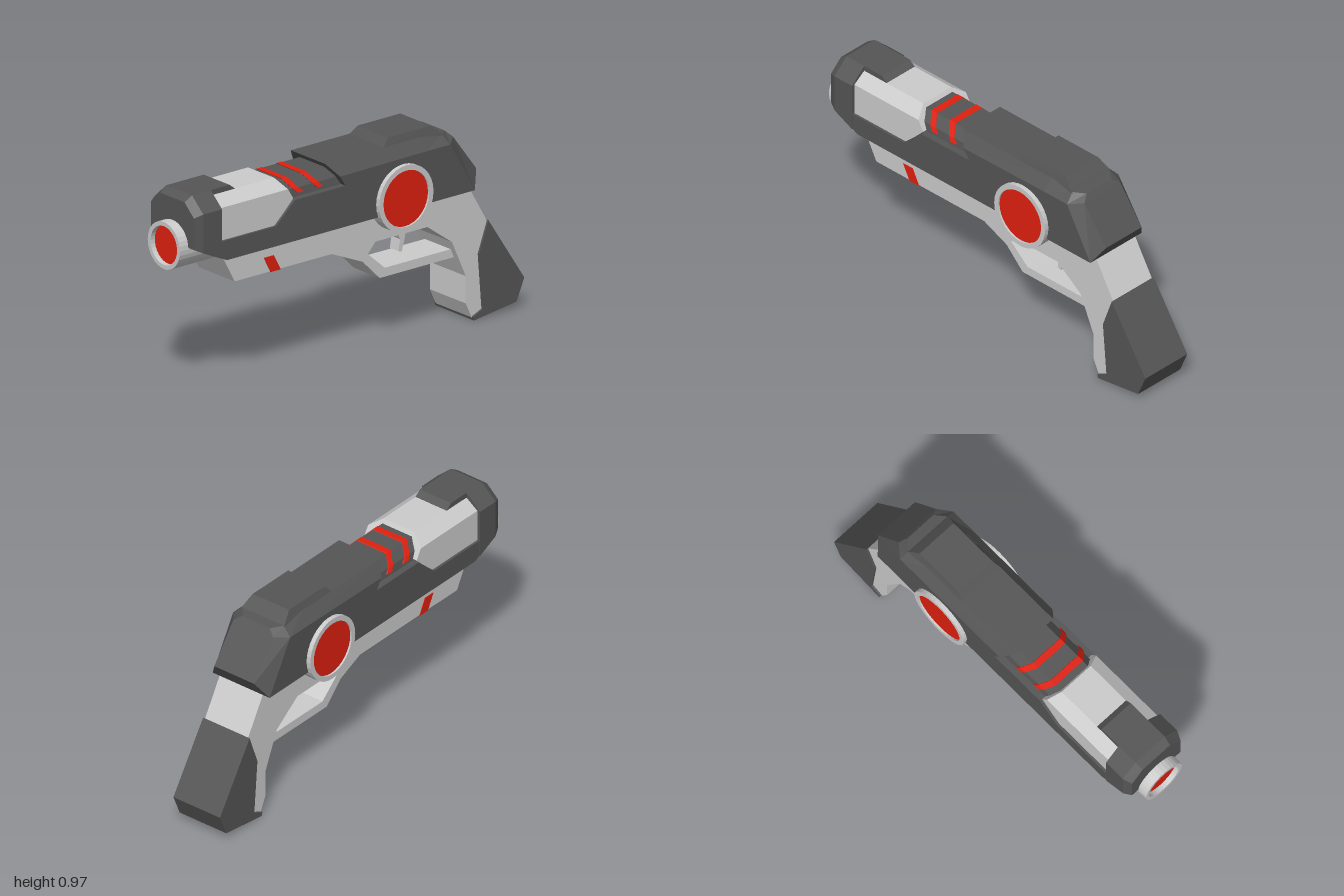
import * as THREE from 'three';

const mat = (color) => new THREE.MeshStandardMaterial({ color, flatShading: true, side: THREE.DoubleSide });

// Side profile in x,y extruded symmetrically to z = +-w
function slab(points, w) {
  const shape = new THREE.Shape(points.map(([x, y]) => new THREE.Vector2(x, y)));
  return new THREE.ExtrudeGeometry(shape, { depth: 2 * w, bevelEnabled: false }).translate(0, 0, -w);
}

// Skin between mirrored rings; each ring lists its +z half as [x, y, z] from bottom to top
function loft(rings) {
  const pos = [];
  const mirror = ([x, y, z]) => [x, y, -z];
  const quad = (a, b, c, d) => pos.push(...a, ...b, ...c, ...a, ...c, ...d);
  const loops = rings.map((h) => [...h, ...h.map(mirror).reverse()]);
  for (let r = 0; r < loops.length - 1; r++) {
    const a = loops[r], b = loops[r + 1];
    a.forEach((p, i) => {
      const j = (i + 1) % a.length;
      quad(p, b[i], b[j], a[j]);
    });
  }
  const first = rings[0], last = rings[rings.length - 1];
  for (let i = 0; i < first.length - 1; i++) {
    quad(first[i], first[i + 1], mirror(first[i + 1]), mirror(first[i]));
    quad(mirror(last[i]), mirror(last[i + 1]), last[i + 1], last[i]);
  }
  const g = new THREE.BufferGeometry();
  g.setAttribute('position', new THREE.Float32BufferAttribute(pos, 3));
  g.computeVertexNormals();
  return g;
}

// Round rim along +y with an inner lip
function rim(outer, inner, height, lip) {
  const pts = [[outer, 0], [outer, height], [inner, height], [inner, height - lip]];
  return new THREE.LatheGeometry(pts.map(([x, y]) => new THREE.Vector2(x, y)), 32);
}

export function createModel() {
  const group = new THREE.Group();
  const grey = mat(0xcccccc), dark = mat(0x555555), red = mat(0xe0200f);
  const add = (name, geometry, material, parent = group) => {
    const mesh = new THREE.Mesh(geometry, material);
    mesh.name = name;
    parent.add(mesh);
    return mesh;
  };

  // Dark upper body
  add('forwardHull', slab([[-0.8, 0.65], [-0.77, 0.635], [0.05, 0.635], [-0.073, 0.83],
    [-0.37, 0.83], [-0.48, 0.73], [-0.8, 0.73]], 0.165), dark);
  add('rearHull', loft([
    [[0.05, 0.635, 0.165], [-0.105, 0.88, 0.165], [-0.155, 0.94, 0.12]],
    [[0.4, 0.635, 0.165], [0.4, 0.885, 0.165], [0.4, 0.94, 0.12]],
    [[0.685, 0.635, 0.165], [0.54, 0.885, 0.165], [0.53, 0.925, 0.12]],
    [[0.735, 0.715, 0.115], [0.6, 0.895, 0.115], [0.58, 0.92, 0.08]],
  ]), dark);
  add('topHump', loft([
    [[0.185, 0.92, 0.125], [0.19, 0.94, 0.12], [0.225, 0.975, 0.105]],
    [[0.535, 0.92, 0.125], [0.52, 0.935, 0.12], [0.475, 0.975, 0.105]],
  ]), dark);

  // Muzzle collar with a tongue over the grey cover
  add('muzzleCollar', loft([
    [[-0.95, 0.72, 0.15], [-0.95, 0.87, 0.15], [-0.95, 0.93, 0.085]],
    [[-0.91, 0.7, 0.168], [-0.91, 0.885, 0.168], [-0.91, 0.955, 0.09]],
    [[-0.8, 0.649, 0.168], [-0.8, 0.885, 0.168], [-0.8, 0.955, 0.09]],
  ]), dark);
  add('collarTongue', slab([[-0.8, 0.92], [-0.66, 0.92], [-0.66, 0.932], [-0.69, 0.955], [-0.8, 0.955]], 0.09), dark);

  // Grey barrel cover
  add('barrelCover', loft([
    [[-0.8, 0.72, 0.153], [-0.8, 0.835, 0.153], [-0.8, 0.885, 0.153], [-0.8, 0.93, 0.09]],
    [[-0.485, 0.72, 0.153], [-0.37, 0.835, 0.153], [-0.4, 0.885, 0.153], [-0.43, 0.93, 0.09]],
  ]), grey);

  // Slanted deck with two glowing bands
  const deckRing = (x, up, low) => [[x + 0.055, low, 0.135 + up], [x + 0.035, 0.868, 0.125 + up], [x, 0.912 + up, 0.085]];
  add('topDeck', loft([deckRing(-0.45, 0, 0.82), deckRing(-0.02, 0, 0.82)]), dark);
  for (const x of [-0.385, -0.27]) {
    add('deckBand', loft([deckRing(x, 0.003, 0.848), deckRing(x + 0.033, 0.003, 0.848)]), red);
  }

  // Barrel
  const barrel = new THREE.Group();
  barrel.name = 'barrel';
  barrel.position.set(-0.7, 0.713, 0);
  barrel.rotation.z = Math.PI / 2;
  group.add(barrel);
  add('barrelTube', rim(0.112, 0.092, 0.3, 0.03), grey, barrel);
  add('barrelLens', new THREE.CircleGeometry(0.092, 32).rotateX(-Math.PI / 2).translate(0, 0.275, 0), red, barrel);

  // Grey lower frame running into the grip
  add('lowerFrame', slab([[-0.76, 0.635], [-0.69, 0.505], [0.44, 0.505], [0.585, 0.4], [0.665, 0.22],
    [0.665, 0.09], [0.7, 0.015], [0.77, 0.03], [0.75, 0.31], [0.79, 0.455], [0.685, 0.635]], 0.125), grey);
  add('frameBand', slab([[-0.52, 0.578], [-0.462, 0.578], [-0.422, 0.502], [-0.48, 0.502]], 0.128), red);
  add('gripBack', slab([[0.79, 0.46], [0.735, 0.31], [0.757, 0.045], [0.7, 0.02], [0.705, 0.002],
    [0.955, 0.035], [1, 0.14]], 0.135), dark);

  // Trigger and its guard
  add('triggerGuard', slab([[-0.14, 0.51], [0.09, 0.41], [0.19, 0.31], [0.63, 0.31], [0.63, 0.352],
    [0.22, 0.352], [0.12, 0.44], [0.185, 0.51]], 0.09), grey);
  add('trigger', slab([[0.325, 0.51], [0.4, 0.51], [0.388, 0.44], [0.37, 0.378], [0.35, 0.385], [0.36, 0.44]], 0.03), grey);

  // Round side dials
  for (const side of [1, -1]) {
    const dial = new THREE.Group();
    dial.name = side > 0 ? 'frontDial' : 'backDial';
    dial.position.set(0.265, 0.697, 0);
    dial.rotation.x = side * Math.PI / 2;
    group.add(dial);
    add('dialRim', rim(0.159, 0.134, 0.187, 0.015), grey, dial);
    add('dialFace', new THREE.CircleGeometry(0.135, 32).rotateX(-Math.PI / 2).translate(0, 0.178, 0), red, dial);
  }
  return group;
}
